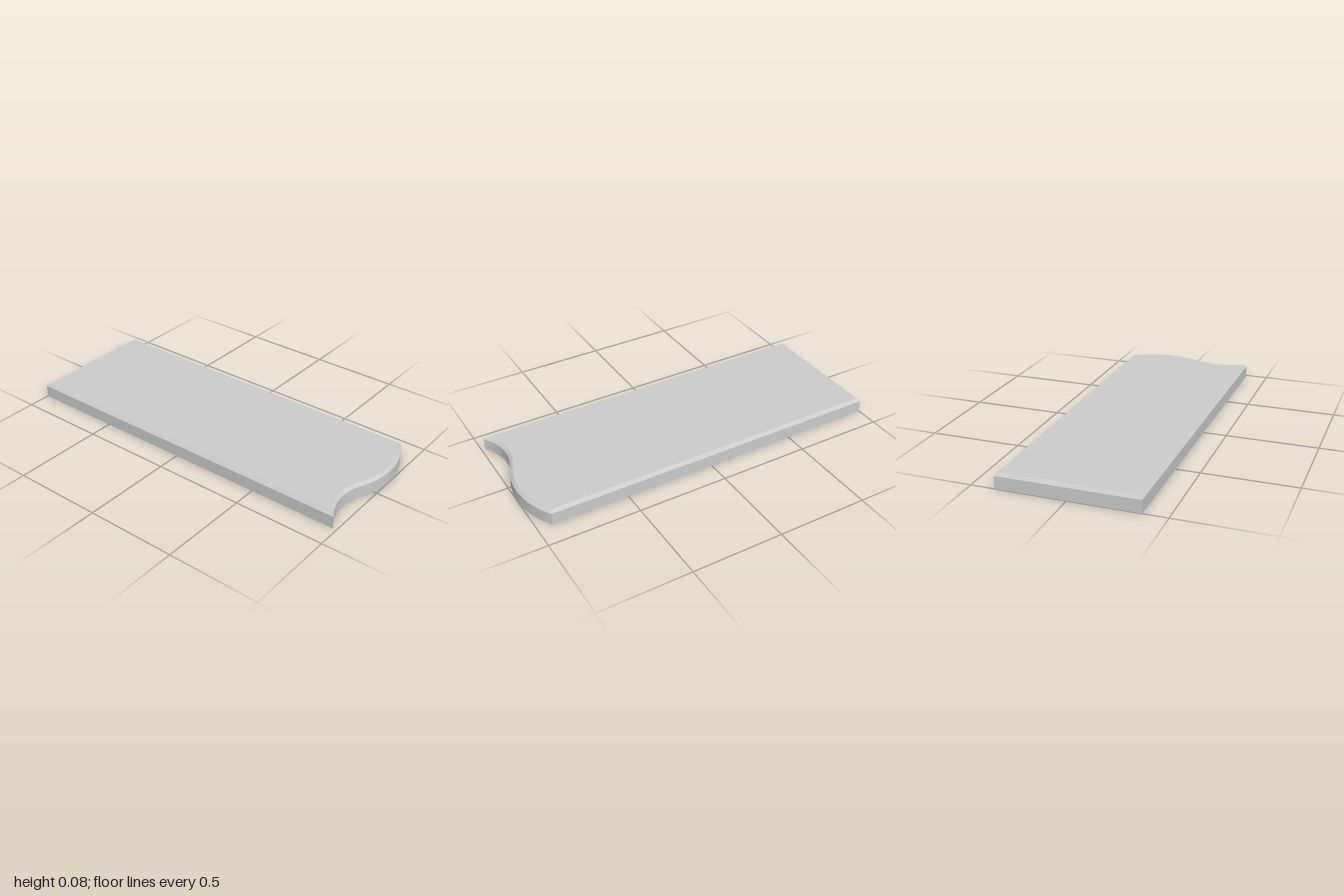
import * as THREE from 'three';
import { toCreasedNormals } from 'three/addons/utils/BufferGeometryUtils.js';

const HALF_DEPTH = 0.373, WALL_TOP = 0.068, TOP = 0.084, CHAMFER = 0.016;

// Two tangent arcs shape the wavy end: a bulge at the back, a hollow at the front
const BULGE = { x: 0.56, z: -0.12, r: 0.44 };
const HOLLOW = { x: 1.215, z: 0.202, r: 0.29 };
const STEPS = 20;

// Plan outline as (x, -z), counterclockwise, offset inwards by inset
function outline(inset) {
  const h = HALF_DEPTH - inset;
  const r1 = BULGE.r - inset, r2 = HOLLOW.r + inset;
  const join = Math.atan2(HOLLOW.z - BULGE.z, HOLLOW.x - BULGE.x);
  const points = [new THREE.Vector2(-1 + inset, -h)];
  const hollowStart = Math.asin((h - HOLLOW.z) / r2);
  for (let i = 0; i < STEPS; i++) {
    const a = THREE.MathUtils.lerp(hollowStart, -join, i / STEPS);
    points.push(new THREE.Vector2(HOLLOW.x - r2 * Math.cos(a), -HOLLOW.z - r2 * Math.sin(a)));
  }
  const bulgeEnd = Math.asin((-h - BULGE.z) / r1);
  for (let i = 0; i <= STEPS; i++) {
    const a = THREE.MathUtils.lerp(join, bulgeEnd, i / STEPS);
    points.push(new THREE.Vector2(BULGE.x + r1 * Math.cos(a), -BULGE.z - r1 * Math.sin(a)));
  }
  points.push(new THREE.Vector2(-1 + inset, h));
  return points;
}

// Joins the stacked outlines with walls and closes both ends
function loft(rings) {
  const n = rings[0].points.length;
  const positions = [], index = [];
  for (const { points, y } of rings) for (const p of points) positions.push(p.x, y, -p.y);
  for (let k = 0; k < rings.length - 1; k++) {
    for (let i = 0; i < n; i++) {
      const a = k * n + i, b = k * n + (i + 1) % n;
      index.push(a, b, b + n, a, b + n, a + n);
    }
  }
  const last = (rings.length - 1) * n;
  for (const [a, b, c] of THREE.ShapeUtils.triangulateShape(rings[0].points, [])) index.push(a, c, b);
  for (const [a, b, c] of THREE.ShapeUtils.triangulateShape(rings.at(-1).points, [])) {
    index.push(last + a, last + b, last + c);
  }
  const geometry = new THREE.BufferGeometry();
  geometry.setAttribute('position', new THREE.Float32BufferAttribute(positions, 3));
  geometry.setIndex(index);
  return toCreasedNormals(geometry, Math.PI / 6);
}

export function createModel() {
  const group = new THREE.Group();
  group.name = 'wavyEndedSlab';

  // Flat slab with straight walls and a chamfer around its top
  const slab = new THREE.Mesh(
    loft([
      { points: outline(0), y: 0 },
      { points: outline(0), y: WALL_TOP },
      { points: outline(CHAMFER), y: TOP },
    ]),
    new THREE.MeshStandardMaterial({ color: 0xcccccc }),
  );
  slab.name = 'slab';
  group.add(slab);
  return group;
}
